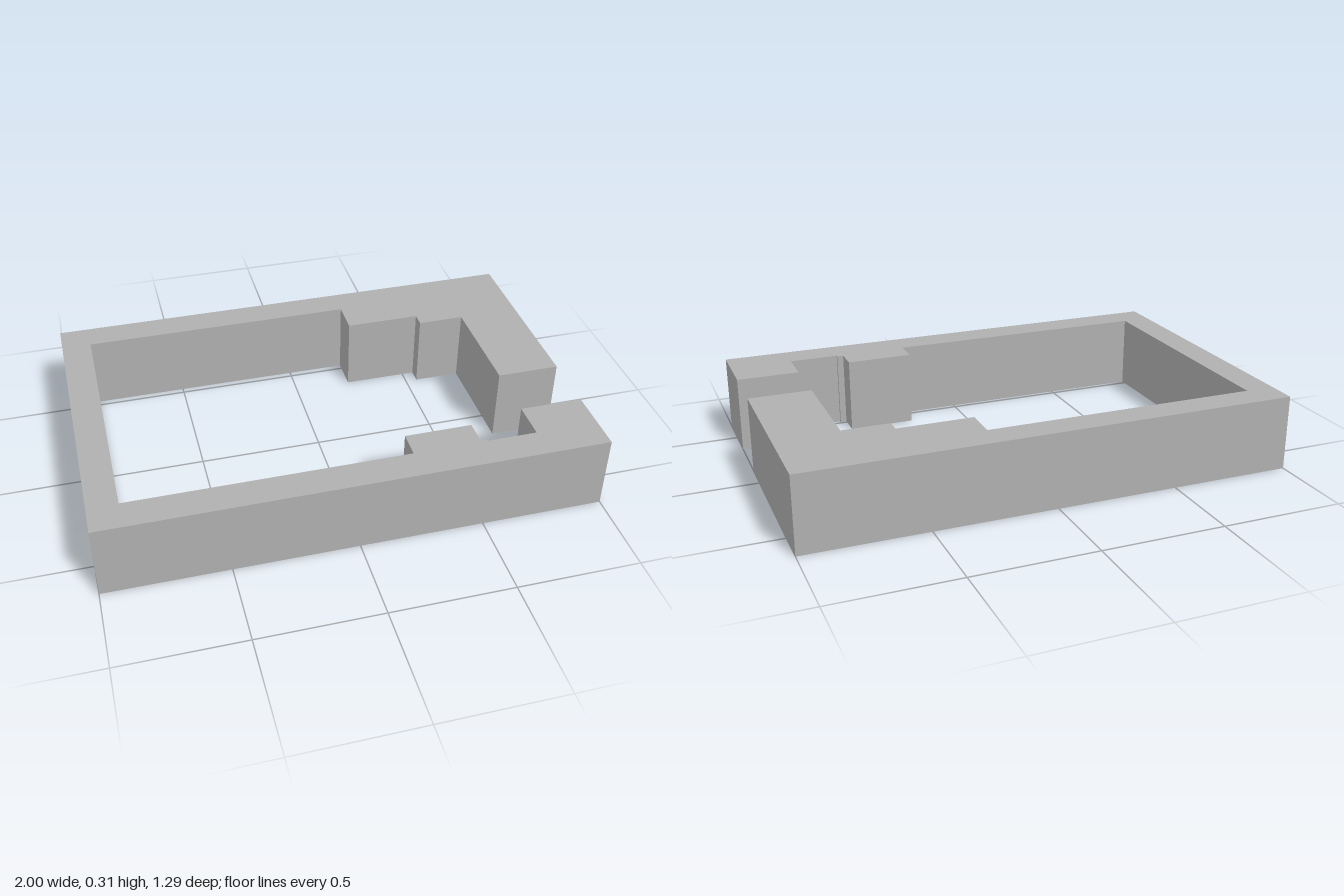
import * as THREE from 'three';

const HEIGHT = 0.31;

// Floor plan of the wall as [x, z] corners, running round the outside and back along the inside
const PLAN = [
  [1, 0.13], [1, -0.646], [-1, -0.646], [-1, 0.646], [1, 0.646], [1, 0.364],
  // front inner face, with its pier and small step
  [0.743, 0.364], [0.743, 0.519], [0.54, 0.519], [0.54, 0.508], [0.514, 0.508],
  [0.514, 0.411], [0.24, 0.411], [0.24, 0.519],
  // left end and stepped back inner face
  [-0.88, 0.519], [-0.88, -0.525], [0.24, -0.525], [0.24, -0.386],
  [0.55, -0.386], [0.55, -0.328], [0.743, -0.328], [0.743, 0.13],
];

export function createModel() {
  const group = new THREE.Group();
  group.name = 'walledEnclosure';

  const grey = new THREE.MeshStandardMaterial({ color: 0xb0b0b0 });
  grey.name = 'stone grey';

  // One continuous wall with a gateway in the right end
  const shape = new THREE.Shape(PLAN.map(([x, z]) => new THREE.Vector2(x, -z)));
  const geometry = new THREE.ExtrudeGeometry(shape, { depth: HEIGHT, bevelEnabled: false });
  geometry.rotateX(-Math.PI / 2);

  const wall = new THREE.Mesh(geometry, grey);
  wall.name = 'perimeterWall';
  group.add(wall);
  return group;
}
